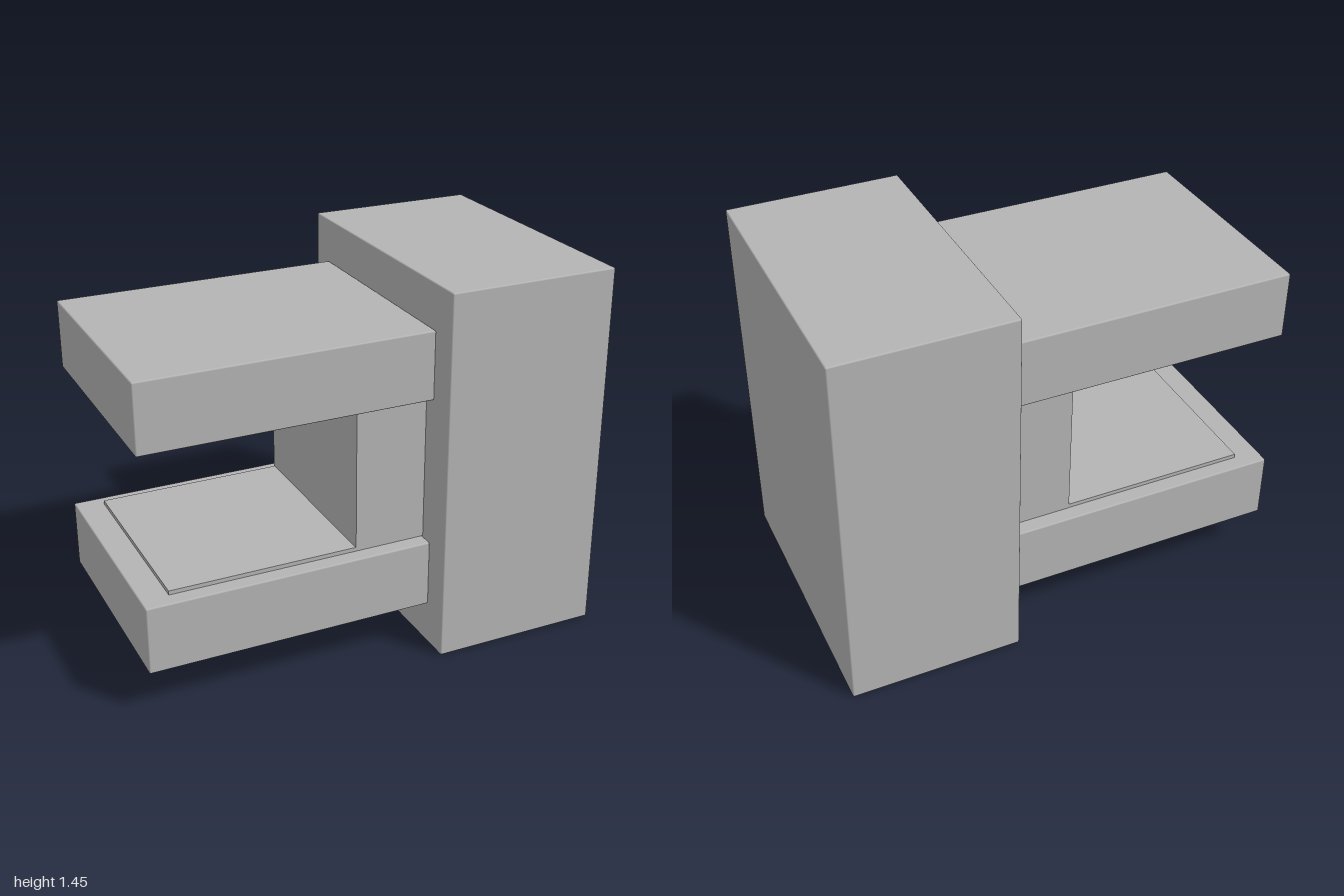
import * as THREE from 'three';
import { RoundedBoxGeometry } from 'three/addons/geometries/RoundedBoxGeometry.js';

export function createModel() {
  const model = new THREE.Group();
  model.name = 'clampBlock';
  const grey = new THREE.MeshStandardMaterial({ color: 0xb4b4b4 });
  grey.name = 'plain grey';

  // All parts share one turned frame: x along the arms, z across them
  const frame = new THREE.Group();
  frame.name = 'turnedFrame';
  frame.rotation.y = THREE.MathUtils.degToRad(-18.2);
  model.add(frame);

  const midZ = -0.046;
  const midY = 0.725;

  // Box spanning x0..x1 and y0..y1, centred across the frame; softened if bevel > 0
  function block(name, x0, x1, y0, y1, depth, bevel = 0) {
    const size = [x1 - x0, y1 - y0, depth];
    const geometry = bevel > 0
      ? new RoundedBoxGeometry(...size, 2, bevel)
      : new THREE.BoxGeometry(...size);
    const mesh = new THREE.Mesh(geometry, grey);
    mesh.name = name;
    mesh.position.set((x0 + x1) / 2, (y0 + y1) / 2, midZ);
    frame.add(mesh);
  }

  // Tall main body
  block('body', 0.19, 0.854, 0, 1.45, 1.105, 0.006);

  // Upright spine between the arms
  block('spine', -0.09, 0.19, 0.437, 1.013, 0.772);

  // Mirrored arms, each with a thin raised pad on its inner face
  for (const [side, s] of [['lower', -1], ['upper', 1]]) {
    const span = (a, b) => [midY + s * a, midY + s * b].sort((p, q) => p - q);
    block(side + 'Arm', -0.925, 0.19, ...span(0.29, 0.555), 0.886, 0.006);
    block(side + 'Pad', -0.82, 0.085, ...span(0.274, 0.292), 0.766);
  }

  return model;
}
